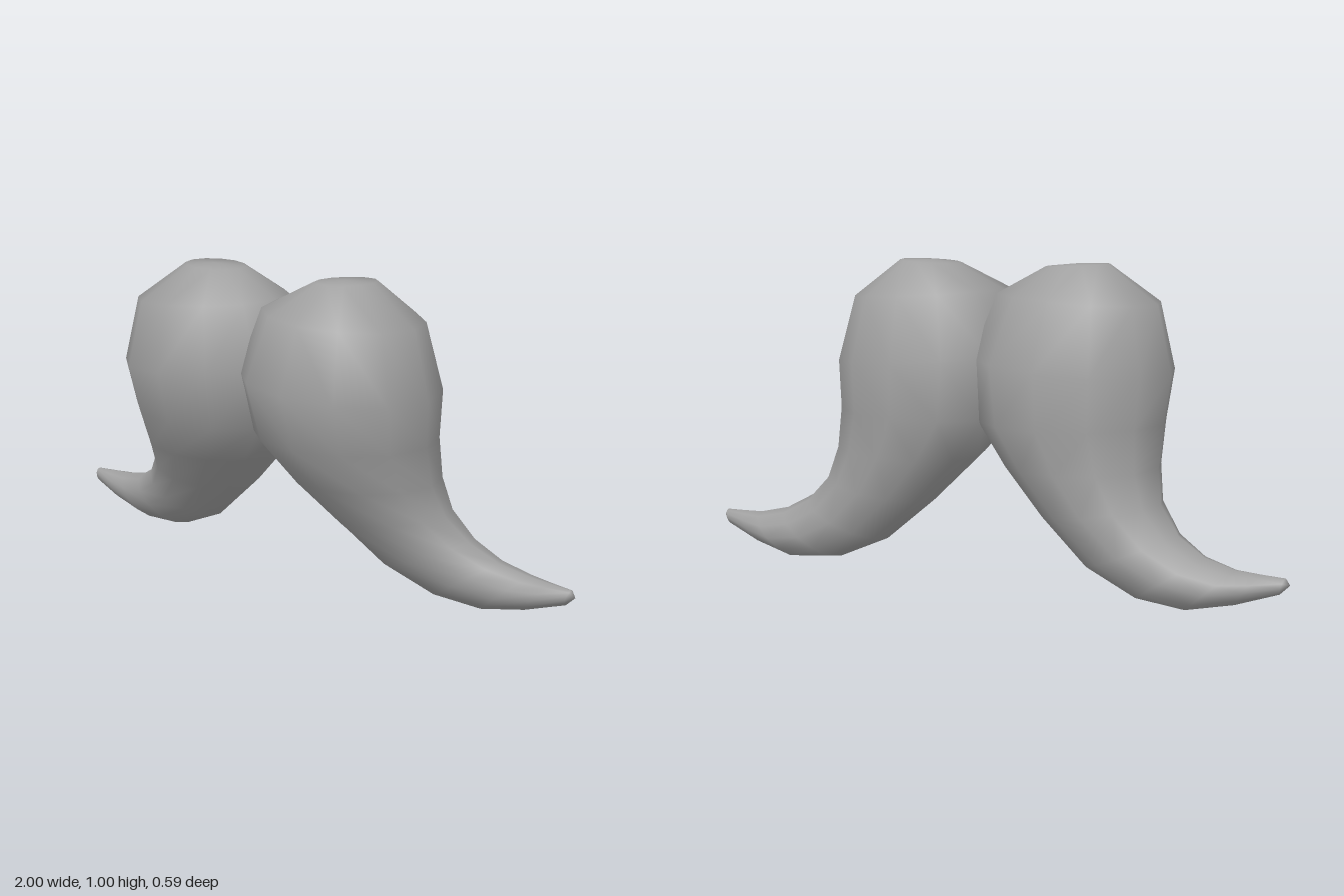
import * as THREE from 'three';

const SIDES = 12;

// Cross-sections from the blunt top to the tip:
// outer edge x, y, inner edge x, y, front z, back z
const SECTIONS = [
  [0.36, 1.0, 0.16, 0.99, 0.09, -0.1],
  [0.52, 0.88, 0.0, 0.91, 0.24, -0.225],
  [0.57, 0.67, -0.08, 0.71, 0.295, -0.295],
  [0.555, 0.52, -0.05, 0.51, 0.245, -0.288],
  [0.555, 0.39, 0.06, 0.375, 0.165, -0.278],
  [0.58, 0.29, 0.2, 0.23, 0.075, -0.265],
  [0.65, 0.21, 0.36, 0.09, 0.0, -0.257],
  [0.74, 0.16, 0.53, 0.015, -0.05, -0.252],
  [0.84, 0.137, 0.69, 0.0, -0.085, -0.242],
  [0.91, 0.133, 0.84, 0.033, -0.11, -0.212],
  [0.985, 0.13, 0.97, 0.08, -0.135, -0.18],
];
const TIP = [1.0, 0.11, -0.157];

// Lofts one half; side is 1 for left (+x) and -1 for right
function halfGeometry(side) {
  const positions = [];
  const index = [];
  const face = (a, b, c) => (side > 0 ? index.push(a, b, c) : index.push(a, c, b));

  for (const [ox, oy, ix, iy, front, back] of SECTIONS) {
    for (let j = 0; j < SIDES; j++) {
      const angle = (j / SIDES) * Math.PI * 2;
      const u = Math.cos(angle) / 2;
      const v = Math.sin(angle) / 2;
      positions.push(
        side * ((ox + ix) / 2 + u * (ox - ix)),
        (oy + iy) / 2 + u * (oy - iy),
        (front + back) / 2 + v * (front - back)
      );
    }
  }

  const last = (SECTIONS.length - 1) * SIDES;
  const top = positions.length / 3;
  positions.push(side * 0.26, 1.0, 0);
  positions.push(side * TIP[0], TIP[1], TIP[2]);

  for (let j = 0; j < SIDES; j++) {
    const k = (j + 1) % SIDES;
    for (let i = 0; i < last; i += SIDES) {
      face(i + j, i + k, i + SIDES + j);
      face(i + k, i + SIDES + k, i + SIDES + j);
    }
    face(top, k, j);
    face(top + 1, last + j, last + k);
  }

  const geometry = new THREE.BufferGeometry();
  geometry.setAttribute('position', new THREE.Float32BufferAttribute(positions, 3));
  geometry.setIndex(index);
  geometry.computeVertexNormals();
  return geometry;
}

export function createModel() {
  const model = new THREE.Group();
  model.name = 'moustache';
  const grey = new THREE.MeshStandardMaterial({ color: 0xa0a0a0 });
  grey.name = 'grey';

  // Two mirrored halves meeting at the centre
  for (const side of [1, -1]) {
    const half = new THREE.Mesh(halfGeometry(side), grey);
    half.name = side > 0 ? 'leftHalf' : 'rightHalf';
    model.add(half);
  }
  return model;
}
